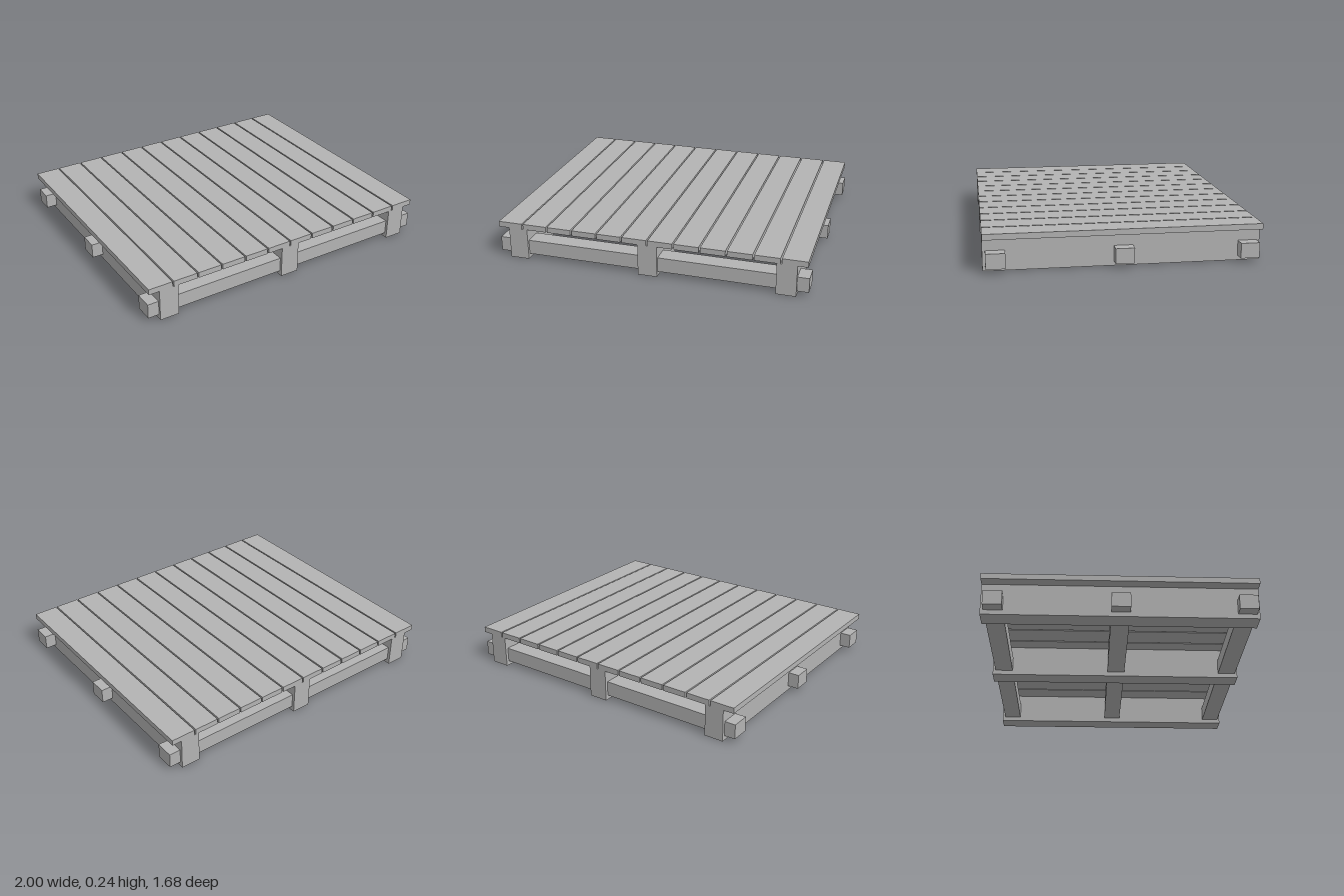
import * as THREE from 'three';

export function createModel() {
  const group = new THREE.Group();
  const wood = new THREE.MeshStandardMaterial({ color: 0xb3b3b3 });
  wood.name = 'grey wood';

  // Box placed by its centre in x and z and its bottom in y
  function board(name, w, h, d, x, y, z) {
    const mesh = new THREE.Mesh(new THREE.BoxGeometry(w, h, d), wood);
    mesh.name = name;
    mesh.position.set(x, y + h / 2, z);
    group.add(mesh);
  }

  // Bearers running front to back, standing on the ground
  for (const x of [-0.867, -0.002, 0.865]) board('bearer', 0.124, 0.204, 1.68, x, 0, 0);

  // Cross beams passing through the bearers
  for (const z of [-0.763, 0.002, 0.765]) board('crossBeam', 2, 0.094, 0.116, 0, 0.03, z);

  // Twelve deck slats with narrow gaps
  const slatWidth = 0.157, pitch = 0.1665, start = -0.998;
  for (let i = 0; i < 12; i++) {
    board('deckSlat', slatWidth, 0.036, 1.68, start + slatWidth / 2 + i * pitch, 0.204, 0);
  }

  return group;
}
